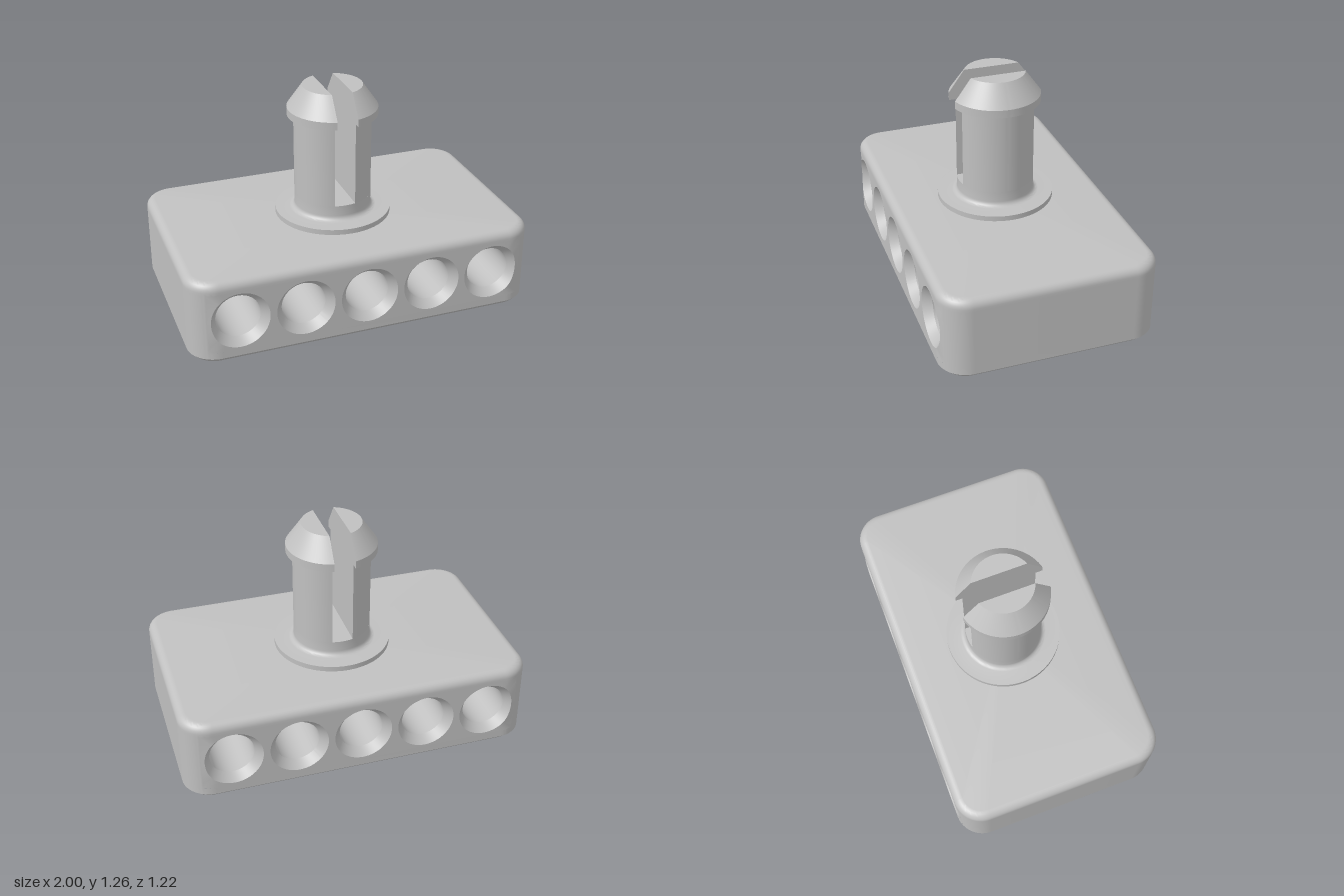
import * as THREE from 'three';
import { toCreasedNormals } from 'three/addons/utils/BufferGeometryUtils.js';

const TAU = Math.PI * 2;
const HX = 1, HZ = 0.61, H = 0.49;             // block half sizes and height
const CORNER = 0.16, FILLET = 0.05, CHAMFER = 0.03;
const CX = HX - CORNER, CZ = HZ - CORNER;      // corner centres
const STEPS = 24;                              // segments per vertical corner
const PANEL_X = CX + CORNER * Math.sin((7 / STEPS) * Math.PI / 2);
const PANEL_Y0 = 0.07, PANEL_Y1 = 0.425;       // drilled strip of front and back
const PITCH = 0.367, HOLE_Y = 0.247, BORE = 0.125, RIM = 0.165, SINK = 0.05;
const SLOT = 0.06, SLOT_Y = 0.61, STEM = 0.22;

// Skins a stack of closed rings into a triangle list; skip() leaves quads open.
function loft(rings, { bottom = false, top = false, skip = () => false } = {}) {
  const out = [];
  const tri = (...pts) => pts.forEach((p) => out.push(p.x, p.y, p.z));
  const n = rings[0].length;
  for (let j = 0; j < rings.length - 1; j++) {
    for (let i = 0; i < n; i++) {
      const k = (i + 1) % n;
      const a = rings[j][i], b = rings[j][k], c = rings[j + 1][k], d = rings[j + 1][i];
      if (skip(j, a, b)) continue;
      tri(a, d, c);
      tri(a, c, b);
    }
  }
  const cap = (ring, up) => {
    const mid = new THREE.Vector3();
    ring.forEach((p) => mid.addScaledVector(p, 1 / n));
    ring.forEach((p, i) => {
      const q = ring[(i + 1) % n];
      if (up) tri(mid, q, p);
      else tri(mid, p, q);
    });
  };
  if (bottom) cap(rings[0], false);
  if (top) cap(rings[rings.length - 1], true);
  return out;
}

function creased(positions) {
  const g = new THREE.BufferGeometry();
  g.setAttribute('position', new THREE.Float32BufferAttribute(positions, 3));
  return toCreasedNormals(g, 0.5);
}

// Rounded rectangle at height y, pulled in by inset
function blockRing(inset, y) {
  const pts = [];
  [[1, 1], [-1, 1], [-1, -1], [1, -1]].forEach(([sx, sz], c) => {
    for (let k = 0; k <= STEPS; k++) {
      const t = (c + k / STEPS) * Math.PI / 2, r = CORNER - inset;
      pts.push(new THREE.Vector3(sx * CX + r * Math.cos(t), y, sz * CZ + r * Math.sin(t)));
    }
  });
  return pts;
}

// Depth of the block's front surface at x, following the rounded corners
const faceZ = (x) => CZ + Math.sqrt(CORNER ** 2 - Math.max(0, Math.abs(x) - CX) ** 2);

// One countersunk through hole with the patch of wall around it, front and back
function holeCell(index) {
  const cx = index * PITCH;
  const x0 = index === -2 ? -PANEL_X : cx - PITCH / 2;
  const x1 = index === 2 ? PANEL_X : cx + PITCH / 2;
  const angles = Array.from({ length: 64 }, (_, i) => (i / 64) * TAU);
  for (const x of [x0, x1]) for (const y of [PANEL_Y0, PANEL_Y1]) {
    angles.push((Math.atan2(y - HOLE_Y, x - cx) + TAU) % TAU);
  }
  angles.sort((a, b) => a - b);
  const ring = (radius, depth) => angles.map((t) => {
    const c = Math.cos(t), s = Math.sin(t), r = radius(c, s), x = cx + r * c;
    return new THREE.Vector3(x, HOLE_Y + r * s, depth(x));
  });
  const bore = () => BORE;
  const rim = (c) => {
    let r = RIM;
    for (let i = 0; i < 6; i++) {
      r = BORE + (faceZ(cx + r * c) - HZ + SINK) * (RIM - BORE) / SINK;
    }
    return r;
  };
  const edge = (c, s) => Math.min(
    ((c > 0 ? x1 : x0) - cx) / (Math.abs(c) < 1e-9 ? 1e-9 * (c > 0 ? 1 : -1) : c),
    ((s > 0 ? PANEL_Y1 : PANEL_Y0) - HOLE_Y) / (Math.abs(s) < 1e-9 ? 1e-9 * (s > 0 ? 1 : -1) : s),
  );
  const back = (x) => -faceZ(x);
  return loft([
    ring(edge, back), ring(rim, back), ring(bore, () => SINK - HZ),
    ring(bore, () => HZ - SINK), ring(rim, faceZ), ring(edge, faceZ),
  ]);
}

function blockGeometry() {
  const profile = [[CHAMFER, 0], [0, CHAMFER], [0, PANEL_Y0], [0, PANEL_Y1]];
  for (let i = 0; i <= 8; i++) {
    const t = (i / 8) * Math.PI / 2;
    profile.push([FILLET * (1 - Math.cos(t)), H - FILLET + FILLET * Math.sin(t)]);
  }
  const inPanel = (p) => Math.abs(p.x) < PANEL_X + 1e-6;
  let soup = loft(profile.map(([inset, y]) => blockRing(inset, y)), {
    bottom: true, top: true, skip: (j, a, b) => j === 2 && inPanel(a) && inPanel(b),
  });
  for (let i = -2; i <= 2; i++) soup = soup.concat(holeCell(i));
  return creased(soup);
}

// Arc of radius r from -half to +half angle at height y
const arcRing = (r, y, half, n) => Array.from({ length: n }, (_, i) => {
  const t = half >= Math.PI ? (i / n) * TAU : -half + (2 * half * i) / (n - 1);
  return new THREE.Vector3(r * Math.cos(t), y, r * Math.sin(t));
});

// Round flange, fillet and solid foot of the stem
function collarGeometry() {
  const profile = [[0.333, H], [0.333, 0.52]], f = 0.03;
  for (let i = 0; i <= 6; i++) {
    const t = (i / 6) * Math.PI / 2;
    profile.push([STEM + f - f * Math.sin(t), 0.52 + f - f * Math.cos(t)]);
  }
  profile.push([STEM, SLOT_Y]);
  return creased(loft(profile.map(([r, y]) => arcRing(r, y, Math.PI, 72)), { top: true }));
}

// Half of the split stem with its barbed head
function prongGeometry() {
  const profile = [[STEM, SLOT_Y], [STEM, 1.09], [0.257, 1.09], [0.257, 1.135], [0.17, 1.26]];
  const rings = profile.map(([r, y]) => arcRing(r, y, Math.acos(SLOT / r), 40));
  return creased(loft(rings, { top: true }));
}

export function createModel() {
  const model = new THREE.Group();
  model.name = 'pegBlock';
  const grey = new THREE.MeshStandardMaterial({ color: 0xc0c0c0 });
  grey.name = 'lightGrey';
  const add = (name, geometry) => {
    const mesh = new THREE.Mesh(geometry, grey);
    mesh.name = name;
    model.add(mesh);
    return mesh;
  };
  add('drilledBlock', blockGeometry());
  add('stemCollar', collarGeometry());
  const prong = prongGeometry();
  add('leftProng', prong);
  add('rightProng', prong).rotation.y = Math.PI;
  return model;
}
